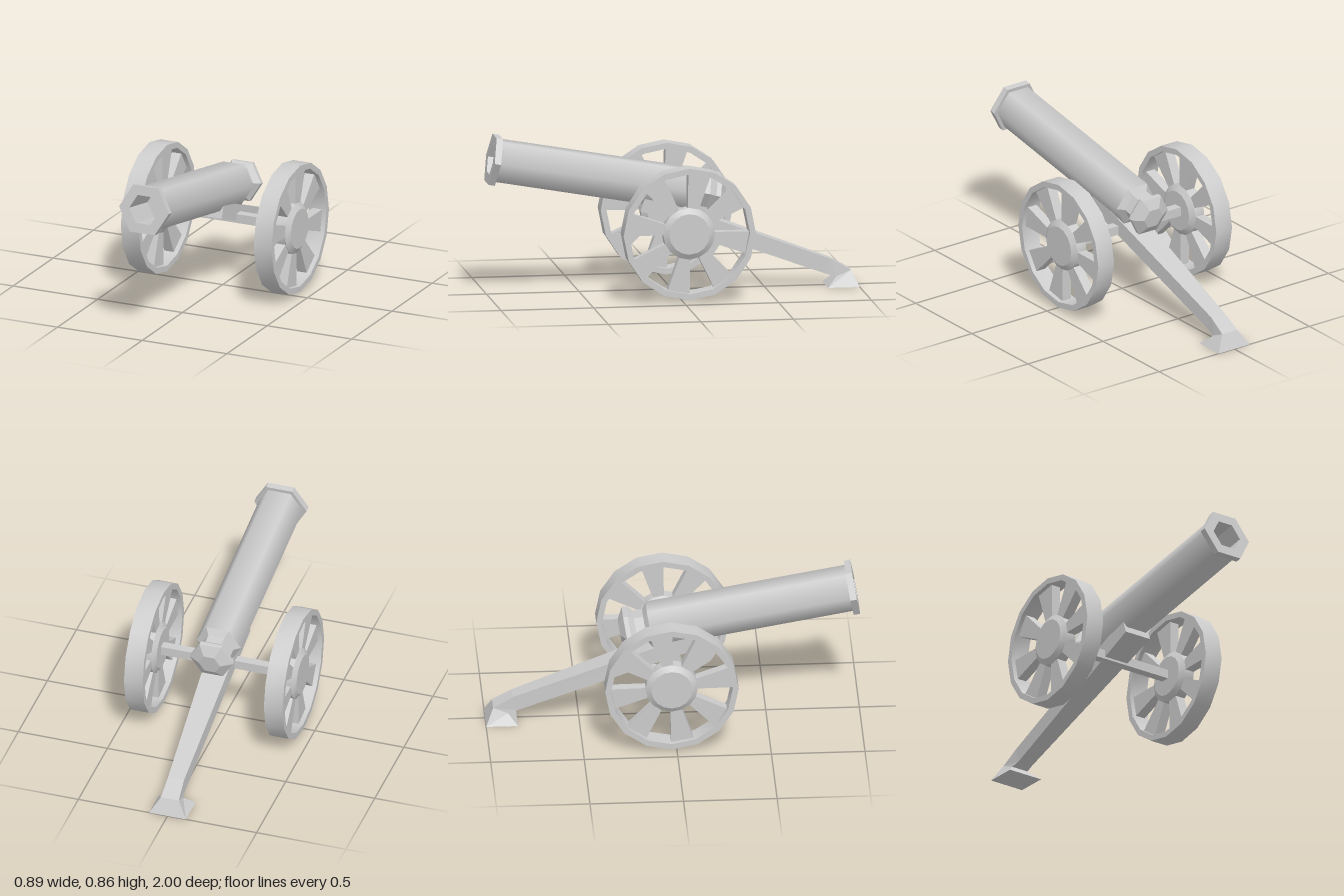
import * as THREE from 'three';
import { toCreasedNormals } from 'three/addons/utils/BufferGeometryUtils.js';

const smooth = new THREE.MeshStandardMaterial({ color: 0xcccccc });
const flat = new THREE.MeshStandardMaterial({ color: 0xcccccc, flatShading: true });
const rad = THREE.MathUtils.degToRad;

function add(parent, name, geometry, material = flat) {
  const mesh = new THREE.Mesh(geometry, material);
  mesh.name = name;
  parent.add(mesh);
  return mesh;
}

function lathe(points, sides, start = 0) {
  return new THREE.LatheGeometry(points.map(([r, y]) => new THREE.Vector2(r, y)), sides, start);
}

// Joins rectangular sections, each [topZ, topY, bottomZ, bottomY, halfWidth]
function loft(sections) {
  const positions = [], index = [];
  sections.forEach(([zt, yt, zb, yb, w], i) => {
    positions.push(-w, yt, zt, w, yt, zt, w, yb, zb, -w, yb, zb);
    if (i === 0) return;
    const p = (i - 1) * 4, q = i * 4;
    for (let k = 0; k < 4; k++) {
      const n = (k + 1) % 4;
      index.push(p + k, p + n, q + n, p + k, q + n, q + k);
    }
  });
  const e = (sections.length - 1) * 4;
  index.push(0, 2, 1, 0, 3, 2, e, e + 1, e + 2, e, e + 2, e + 3);
  const g = new THREE.BufferGeometry();
  g.setAttribute('position', new THREE.Float32BufferAttribute(positions, 3));
  g.setIndex(index);
  g.computeVertexNormals();
  return g;
}

// Six-sided barrel, muzzle at the local origin, raised by ten degrees
function makeBarrel() {
  const barrel = new THREE.Group();
  barrel.name = 'barrel';
  const hex = (points) => lathe(points, 6, Math.PI / 2);
  add(barrel, 'barrelTube', hex([[0.125, -1.115], [0.125, -0.03]]), smooth);
  add(barrel, 'muzzleRingAndBore', hex([
    [0.12, -0.035], [0.147, -0.035], [0.147, 0], [0.087, 0], [0.087, -0.23], [0, -0.23],
  ]));
  add(barrel, 'breechKnob', hex([
    [0, -1.278], [0.06, -1.278], [0.12, -1.245], [0.12, -1.22],
    [0.09, -1.19], [0.09, -1.14], [0.125, -1.115],
  ]));
  barrel.rotation.x = rad(80);
  barrel.position.set(0, 0.73, 0.978);
  return barrel;
}

// Wheel turning about the x axis
function makeWheel(name) {
  const wheel = new THREE.Group();
  wheel.name = name;
  const h = 0.0525;
  const rim = lathe([[0.325, -h], [0.357, -h], [0.357, h], [0.325, h], [0.325, -h]], 16);
  add(wheel, 'rim', toCreasedNormals(rim.rotateZ(-Math.PI / 2), 0.5), smooth);
  const hub = lathe([[0, -0.05], [0.11, -0.05], [0.14, -0.03], [0.14, 0.03], [0.11, 0.05], [0, 0.05]], 16);
  add(wheel, 'hub', toCreasedNormals(hub.rotateZ(-Math.PI / 2), 0.5), smooth);

  // Spokes widen towards the rim
  const spoke = new THREE.BoxGeometry(0.055, 0.23, 1).translate(0, 0.22, 0);
  const pos = spoke.attributes.position;
  for (let i = 0; i < pos.count; i++) {
    pos.setZ(i, pos.getZ(i) * (pos.getY(i) > 0.2 ? 0.125 : 0.05));
  }
  spoke.computeVertexNormals();
  for (let k = 0; k < 8; k++) {
    add(wheel, 'spoke', spoke).rotation.x = rad(-10 + 45 * k);
  }
  return wheel;
}

export function createModel() {
  const model = new THREE.Group();
  model.name = 'fieldCannon';
  model.add(makeBarrel());

  for (const side of [1, -1]) {
    const wheel = makeWheel(side > 0 ? 'leftWheel' : 'rightWheel');
    wheel.position.set(side * 0.3925, 0.373, -0.028);
    model.add(wheel);
  }

  add(model, 'axle', new THREE.BoxGeometry(0.7, 0.05, 0.05)).position.set(0, 0.38, -0.04);

  // Tapered trail beam under the barrel
  const trailEnd = [-0.855, 0.145, -0.83, 0.065, 0.045];
  add(model, 'trail', loft([[0.15, 0.525, 0.18, 0.44, 0.08], trailEnd]));

  // Foot bends down and flares to a flat base
  add(model, 'trailFoot', loft([
    trailEnd,
    [-0.96, 0.085, -0.88, 0.05, 0.05],
    [-1, 0, -0.83, 0, 0.103],
  ]));
  return model;
}
